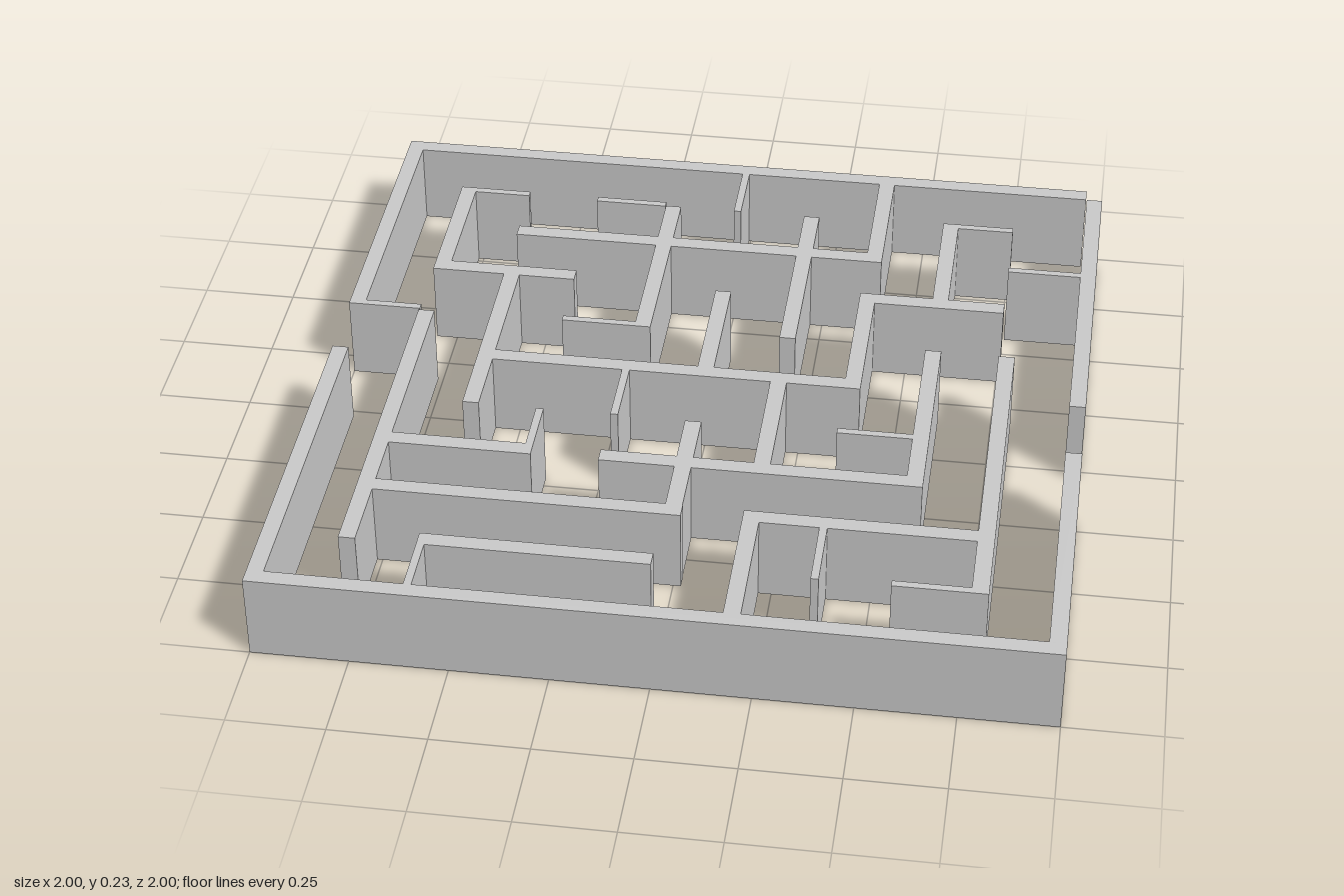
import * as THREE from 'three';

const HEIGHT = 0.23;
const THICK = 0.043;
const THIN = 0.02;

// Each wall: [edge with the lowest cross coordinate, start, end]
const outerAlongX = [[-1, -1, 0.955], [0.957, -1, 1]];
const outerAlongZ = [[-1, -1, -0.18], [-1, 0.02, 1], [0.957, -0.957, 0.02], [0.957, 0.217, 1]];

const innerAlongX = [
  [-0.61, -0.61, 0.41],
  [-0.415, -0.805, -0.415], [-0.415, 0.37, 0.76],
  [-0.023, -0.61, 0.41],
  [0.367, -0.805, -0.395], [0.367, -0.22, 0.607],
  [0.562, -0.805, 0.02], [0.562, 0.175, 0.803],
  [0.76, -0.61, -0.025],
];
const innerAlongZ = [
  [-0.807, -0.783, -0.373], [-0.807, -0.175, 0.803],
  [-0.61, -0.415, 0.215],
  [-0.218, -0.765, -0.18],
  [-0.024, -0.372, 0.02], [-0.024, 0.217, 0.605],
  [0.174, -0.765, -0.18], [0.174, 0.02, 0.41], [0.174, 0.562, 0.957],
  [0.368, -0.957, -0.567], [0.368, -0.415, 0.02],
  [0.565, -0.783, -0.373], [0.565, -0.175, 0.41],
  [0.76, -0.175, 0.803],
];

// Thin stubs
const stubsAlongX = [
  [-0.783, -0.805, -0.61], [-0.783, -0.415, -0.22], [-0.783, 0.565, 0.76],
  [-0.59, 0.76, 0.957],
  [-0.2, -0.957, -0.805], [-0.2, -0.415, -0.217],
  [0.195, 0.37, 0.565], [0.783, 0.565, 0.76],
];
const stubsAlongZ = [
  [-0.61, 0.803, 0.957], [-0.415, 0.217, 0.41], [-0.22, 0.02, 0.215],
  [-0.025, -0.957, -0.765], [0.368, 0.605, 0.803],
];

export function createModel() {
  const model = new THREE.Group();
  model.name = 'maze';
  const material = new THREE.MeshStandardMaterial({ color: 0xcccccc });

  function addWalls(name, thickness, alongX, alongZ) {
    const group = new THREE.Group();
    group.name = name;
    const add = (width, depth, x, z) => {
      const mesh = new THREE.Mesh(new THREE.BoxGeometry(width, HEIGHT, depth), material);
      mesh.name = name.replace(/s$/, '');
      mesh.position.set(x, HEIGHT / 2, z);
      group.add(mesh);
    };
    for (const [edge, a, b] of alongX) add(b - a, thickness, (a + b) / 2, edge + thickness / 2);
    for (const [edge, a, b] of alongZ) add(thickness, b - a, edge + thickness / 2, (a + b) / 2);
    model.add(group);
  }

  addWalls('outerWalls', THICK, outerAlongX, outerAlongZ);
  addWalls('innerWalls', THICK, innerAlongX, innerAlongZ);
  addWalls('thinStubWalls', THIN, stubsAlongX, stubsAlongZ);
  return model;
}
